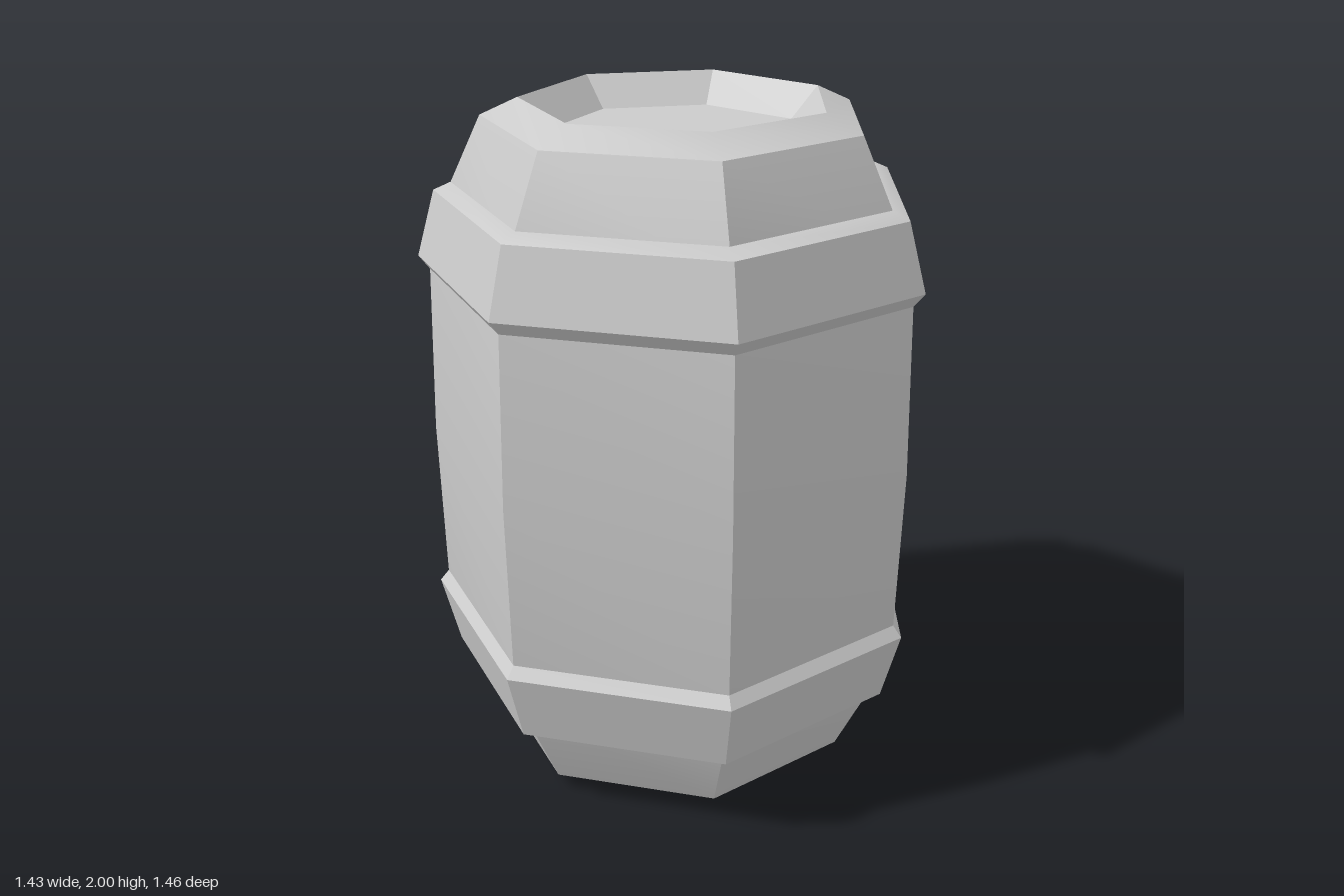
import * as THREE from 'three';
import { toCreasedNormals } from 'three/addons/utils/BufferGeometryUtils.js';

const SIDES = 7;
const material = new THREE.MeshStandardMaterial({ color: 0xcccccc });

// Seven-sided turned part; the profile of [radius, y] runs upwards on the outside
function turned(name, profile) {
  const points = profile.map(([r, y]) => new THREE.Vector2(r, y));
  const lathe = new THREE.LatheGeometry(points, SIDES, THREE.MathUtils.degToRad(-89));
  const mesh = new THREE.Mesh(toCreasedNormals(lathe, THREE.MathUtils.degToRad(28)), material);
  mesh.name = name;
  return mesh;
}

export function createModel() {
  const barrel = new THREE.Group();
  barrel.name = 'barrel';

  // Staves with a recessed lid and base: lower half mirrored from the upper
  const upper = [[0.73, 1], [0.718, 1.5], [0.695, 1.65], [0.553, 1.95], [0.445, 2], [0.362, 1.91], [0, 1.91]];
  const lower = upper.slice(1).reverse().map(([r, y]) => [r, 2 - y]);
  barrel.add(turned('staves', [...lower, ...upper]));

  // Hoops, their edges sunk into the staves
  barrel.add(turned('upperHoop', [[0.69, 1.49], [0.718, 1.5], [0.75, 1.54], [0.695, 1.735], [0.645, 1.758], [0.62, 1.758]]));
  barrel.add(turned('lowerHoop', [[0.62, 0.245], [0.645, 0.247], [0.69, 0.265], [0.745, 0.475], [0.718, 0.51], [0.69, 0.515]]));

  // Centre the odd-sided footprint
  barrel.children.forEach((part) => part.position.set(0.034, 0, -0.004));
  return barrel;
}
